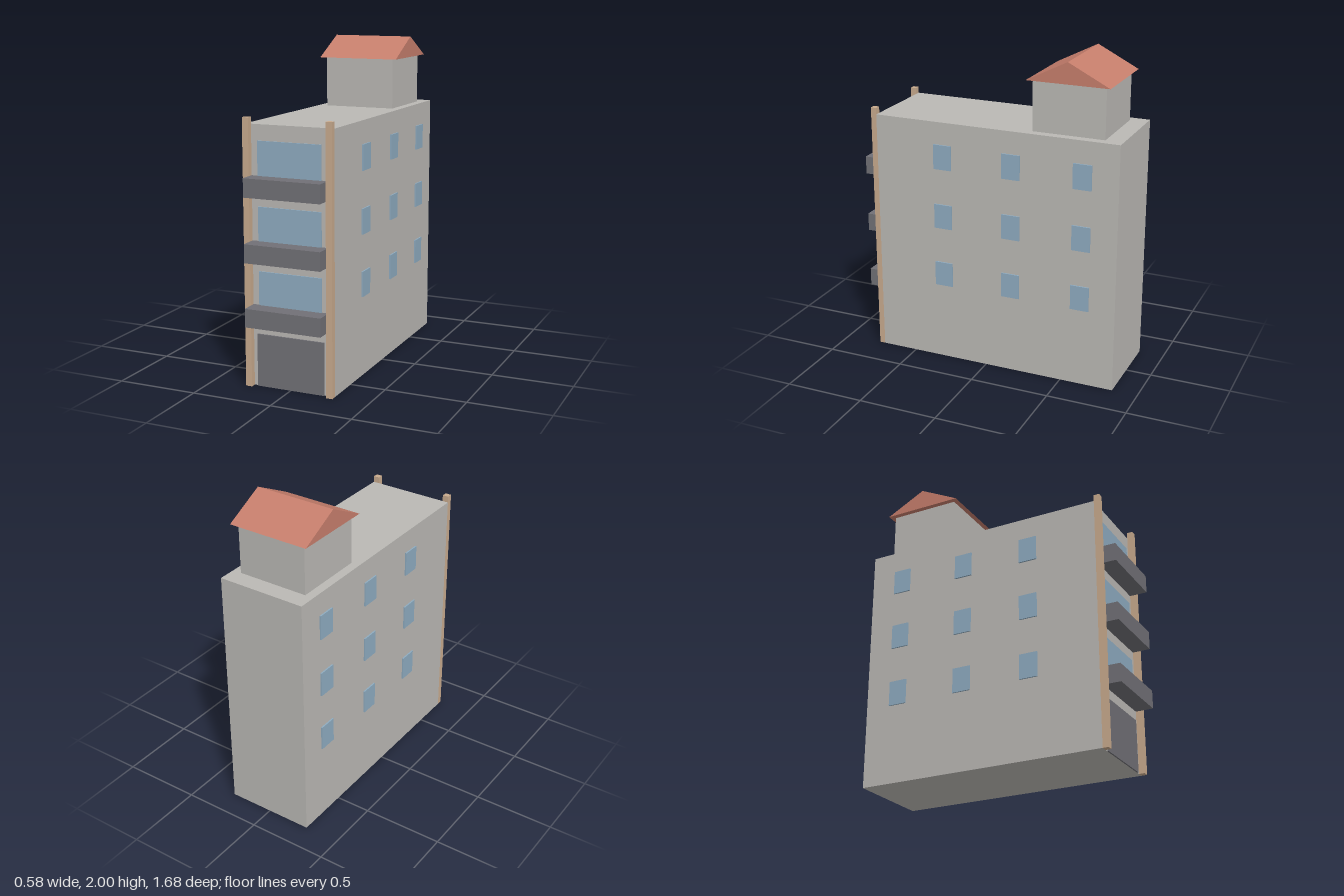
import * as THREE from 'three';

const mat = (name, color) => {
  const m = new THREE.MeshStandardMaterial({ color });
  m.name = name;
  return m;
};

export function createModel() {
  const group = new THREE.Group();
  const wall = mat('wall grey', 0xbab8b4);
  const glass = mat('window blue', 0x8eabc0);
  const dark = mat('dark grey', 0x717076);
  const tan = mat('pillar tan', 0xc8aa8d);
  const tile = mat('roof terracotta', 0xc67e6c);

  // Box given by its minimum and maximum corners
  const box = (name, material, [x0, y0, z0], [x1, y1, z1]) => {
    const mesh = new THREE.Mesh(new THREE.BoxGeometry(x1 - x0, y1 - y0, z1 - z0), material);
    mesh.position.set((x0 + x1) / 2, (y0 + y1) / 2, (z0 + z1) / 2);
    mesh.name = name;
    group.add(mesh);
  };

  // Main block and rooftop room
  box('building', wall, [-0.28, 0, -0.84], [0.28, 1.56, 0.73]);
  box('rooftopRoom', wall, [-0.225, 1.56, -0.73], [0.225, 1.87, -0.28]);

  // Gabled roof, ridge along x
  const gable = new THREE.Shape([
    new THREE.Vector2(-0.257, 0),
    new THREE.Vector2(0.257, 0),
    new THREE.Vector2(0, 0.13),
  ]);
  const roofGeometry = new THREE.ExtrudeGeometry(gable, { depth: 0.516, bevelEnabled: false });
  roofGeometry.translate(0, 0, -0.258).rotateY(Math.PI / 2);
  const roof = new THREE.Mesh(roofGeometry, tile);
  roof.position.set(0, 1.87, -0.505);
  roof.name = 'roof';
  group.add(roof);

  // Garage-style entrance
  box('entrance', dark, [-0.215, 0, 0.73], [0.215, 0.32, 0.739]);

  // Each upper floor: front window, balcony and side windows
  for (let floor = 0; floor < 3; floor++) {
    const y = 0.383 * floor;
    box('frontWindow', glass, [-0.2, 0.45 + y, 0.73], [0.2, 0.7 + y, 0.738]);
    box('balcony', dark, [-0.24, 0.385 + y, 0.73], [0.24, 0.497 + y, 0.84]);
    for (const z of [0.283, -0.167, -0.617]) {
      box('leftWindow', glass, [0.28, 0.497 + y, z - 0.058], [0.289, 0.653 + y, z + 0.058]);
      box('rightWindow', glass, [-0.289, 0.497 + y, z - 0.058], [-0.28, 0.653 + y, z + 0.058]);
    }
  }

  // Front corner pillars
  box('leftPillar', tan, [0.241, 0, 0.73], [0.28, 1.6, 0.766]);
  box('rightPillar', tan, [-0.28, 0, 0.73], [-0.241, 1.6, 0.766]);

  return group;
}
